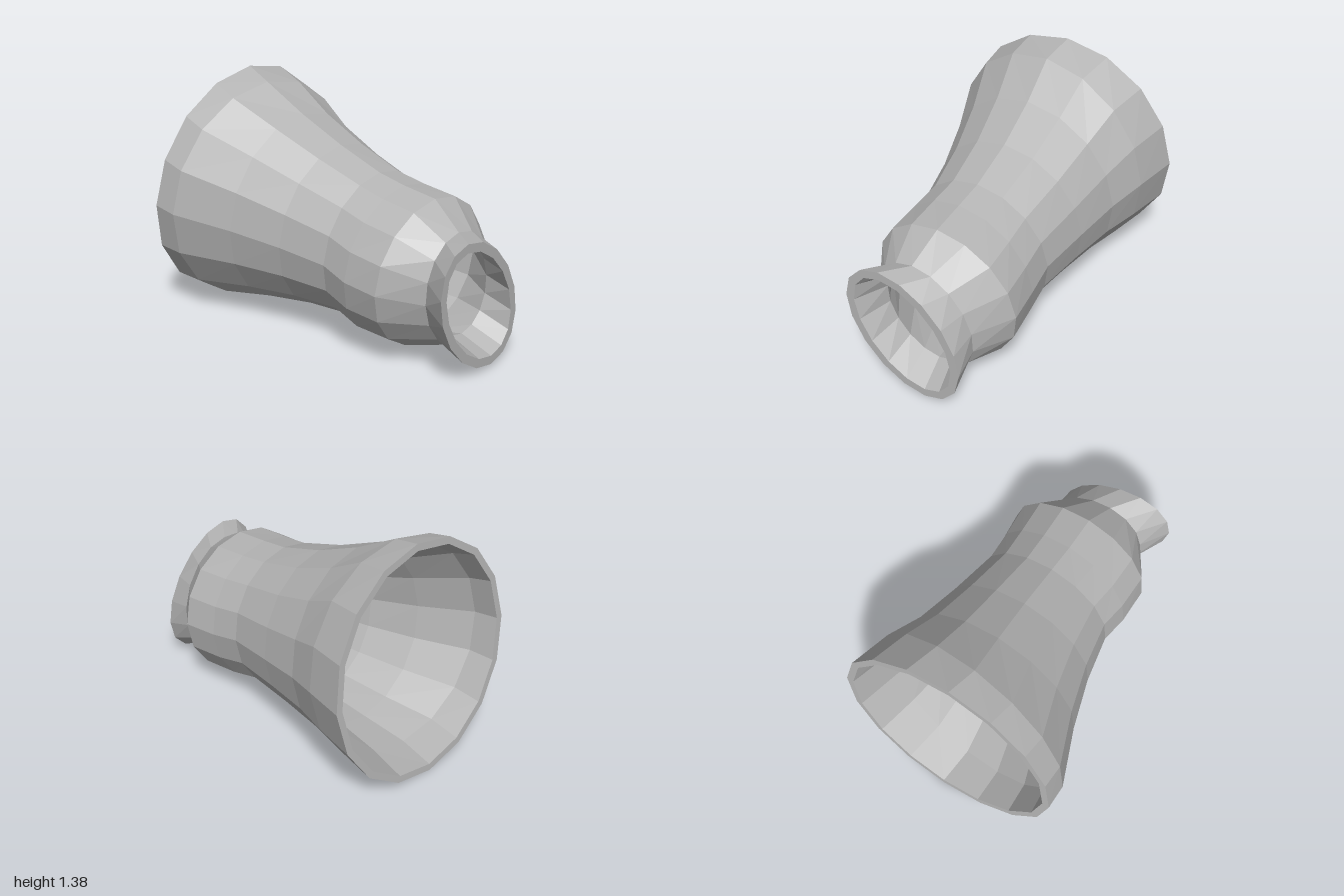
import * as THREE from 'three';

const SIDES = 16;

// Cross-sections from the wide mouth to the narrow collar:
// centre x, y, z, half height, half depth, lean of x over z, lean of x over y, skew of z, wall
const SECTIONS = [
  [-0.79, 0.69, -0.115, 0.69, 0.635, -0.30, 0.13, 0.02, 0.04],
  [-0.61, 0.67, -0.03, 0.655, 0.59, -0.40, 0.11, 0.02, 0.05],
  [-0.35, 0.62, 0.02, 0.56, 0.51, -0.30, 0.10, 0.02, 0.05],
  [-0.075, 0.575, 0.085, 0.48, 0.445, -0.28, 0.10, 0.02, 0.05],
  [0.20, 0.535, 0.165, 0.425, 0.395, -0.30, 0.10, 0.02, 0.05],
  [0.365, 0.495, 0.22, 0.435, 0.41, -0.32, 0.10, 0.02, 0.05],
  [0.57, 0.478, 0.27, 0.428, 0.42, -0.32, 0.10, 0.03, 0.06],
  [0.765, 0.44, 0.33, 0.34, 0.275, -0.30, 0.07, 0.06, 0.05],
  [0.91, 0.405, 0.42, 0.385, 0.31, -0.27, 0.0, 0.12, 0.05],
];

// One tilted oval ring of points, shrunk by the wall for the inside
function ring([cx, cy, cz, ry, rz, leanZ, leanY, skew, wall], inside) {
  const inset = inside ? wall : 0;
  return Array.from({ length: SIDES }, (_, j) => {
    const a = (j / SIDES) * Math.PI * 2;
    const dy = (ry - inset) * Math.cos(a);
    const dz = (rz - inset) * Math.sin(a) + skew * Math.cos(a);
    return [cx + leanZ * dz + leanY * dy, cy + dy, cz + dz];
  });
}

// Skin a list of rings with quads
function skin(rings) {
  const index = [];
  for (let i = 0; i < rings.length - 1; i++) {
    for (let j = 0; j < SIDES; j++) {
      const k = (j + 1) % SIDES;
      const a = i * SIDES + j, b = i * SIDES + k;
      const c = a + SIDES, d = b + SIDES;
      index.push(a, b, c, b, d, c);
    }
  }
  const geo = new THREE.BufferGeometry();
  geo.setAttribute('position', new THREE.Float32BufferAttribute(rings.flat(2), 3));
  geo.setIndex(index);
  const flat = geo.toNonIndexed();
  flat.computeVertexNormals();
  return flat;
}

export function createModel() {
  const group = new THREE.Group();
  group.name = 'flaredSleeve';
  const grey = new THREE.MeshStandardMaterial({ color: 0xb4b4b4, flatShading: true });
  grey.name = 'plain grey';

  const outer = SECTIONS.map((s) => ring(s, false));
  const inner = SECTIONS.map((s) => ring(s, true));
  const last = SECTIONS.length - 1;

  const parts = {
    outerWall: outer,
    innerWall: [...inner].reverse(),
    wideRim: [inner[0], outer[0]],
    narrowRim: [outer[last], inner[last]],
  };
  for (const [name, rings] of Object.entries(parts)) {
    const mesh = new THREE.Mesh(skin(rings), grey);
    mesh.name = name;
    group.add(mesh);
  }
  return group;
}
